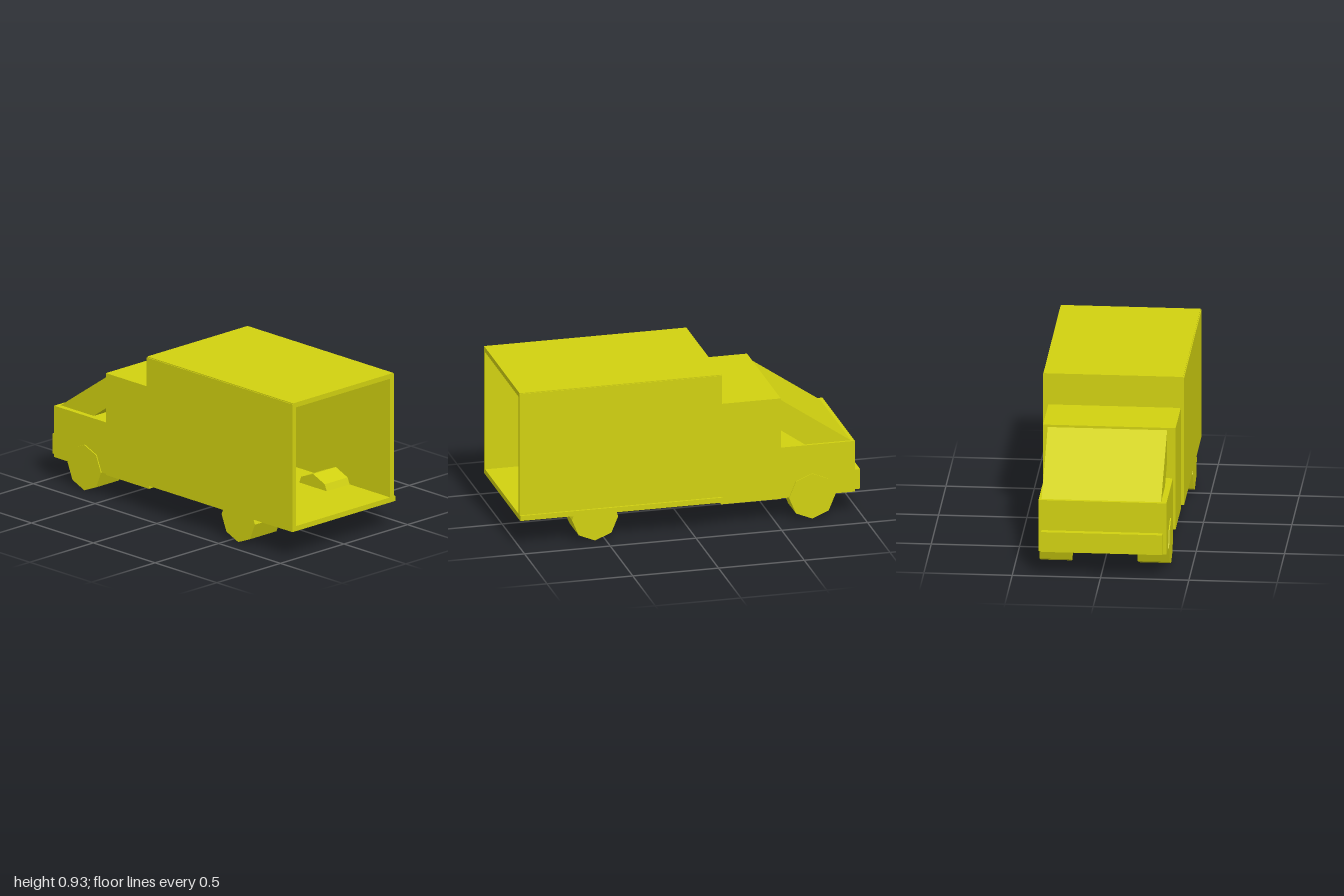
import * as THREE from 'three';

const material = new THREE.MeshStandardMaterial({ color: 0xd0d010, flatShading: true });

function addMesh(parent, name, geometry) {
  const mesh = new THREE.Mesh(geometry, material);
  mesh.name = name;
  parent.add(mesh);
  return mesh;
}

// Box given by its extents along each axis
function addBox(parent, name, [x0, x1], [y0, y1], [z0, z1]) {
  const mesh = addMesh(parent, name, new THREE.BoxGeometry(x1 - x0, y1 - y0, z1 - z0));
  mesh.position.set((x0 + x1) / 2, (y0 + y1) / 2, (z0 + z1) / 2);
}

// Eight-sided wheel with one corner pointing down
function addWheel(parent, name, x0, x1, z) {
  const radius = 0.135;
  const geometry = new THREE.CylinderGeometry(radius, radius, x1 - x0, 8);
  geometry.rotateZ(Math.PI / 2);
  const mesh = addMesh(parent, name, geometry);
  mesh.position.set((x0 + x1) / 2, radius, z);
}

export function createModel() {
  const truck = new THREE.Group();
  truck.name = 'boxTruck';

  // Cargo box, open at the +z end
  const cargo = new THREE.Group();
  cargo.name = 'cargoBox';
  truck.add(cargo);
  const cargoZ = [-0.18, 1];
  addBox(cargo, 'cargoFloor', [-0.405, 0.405], [0.163, 0.193], cargoZ);
  addBox(cargo, 'cargoRightWall', [-0.405, -0.377], [0.163, 0.922], cargoZ);
  addBox(cargo, 'cargoLeftWall', [0.364, 0.393], [0.163, 0.922], cargoZ);
  addBox(cargo, 'cargoRoof', [-0.4, 0.389], [0.898, 0.927], cargoZ);
  addBox(cargo, 'cargoBulkhead', [-0.39, 0.38], [0.17, 0.91], [-0.18, -0.15]);

  // Cab, hood and bumper
  addBox(truck, 'cab', [-0.386, 0.364], [0.137, 0.742], [-0.53, -0.181]);
  addBox(truck, 'hood', [-0.37, 0.354], [0.137, 0.442], [-0.965, -0.53]);
  addBox(truck, 'bumper', [-0.348, 0.337], [0.145, 0.263], [-1, -0.965]);

  // Sloping windshield slab, its lower end sunk into the hood
  const profile = new THREE.Shape([
    [-0.53, 0.728], [-0.945, 0.442], [-0.945, 0.4], [-0.737, 0.4], [-0.53, 0.545],
  ].map(([z, y]) => new THREE.Vector2(z, y)));
  const glass = new THREE.ExtrudeGeometry(profile, { depth: 0.676, bevelEnabled: false });
  glass.translate(0, 0, -0.338);
  glass.rotateY(-Math.PI / 2);
  addMesh(truck, 'windshield', glass);

  // Wheels
  addWheel(truck, 'frontRightWheel', -0.376, -0.195, -0.715);
  addWheel(truck, 'frontLeftWheel', 0.184, 0.36, -0.715);
  addWheel(truck, 'rearRightWheel', -0.404, -0.195, 0.56);
  addWheel(truck, 'rearLeftWheel', 0.184, 0.392, 0.56);

  return truck;
}
